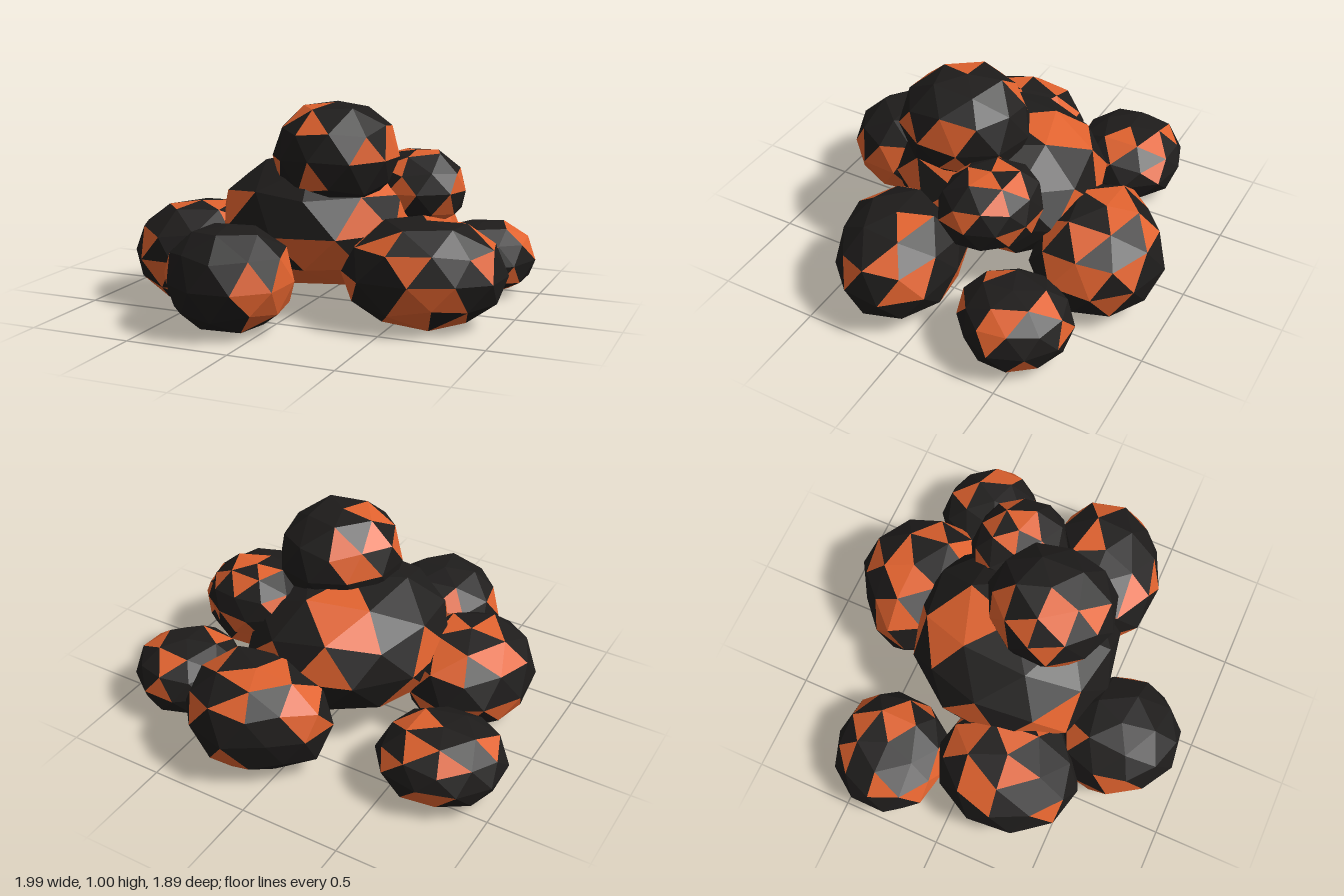
import * as THREE from 'three';
import { mergeVertices } from 'three/addons/utils/BufferGeometryUtils.js';

const CAP = 0.92; // height at which the poles are flattened

function seeded(seed) {
  let s = seed * 7919;
  return () => {
    s = (s * 16807) % 2147483647;
    return s / 2147483647;
  };
}

// Faceted ball with its pole up. Its footprint is an oval whose four diagonals
// (front left, front right, back right, back left) are swelled or shaved.
function lumpGeometry(low, high, x, z, rx, rz, spin, diagonals, rand) {
  let geo = new THREE.IcosahedronGeometry(1, 1);
  geo.deleteAttribute('normal');
  geo.deleteAttribute('uv');
  geo = mergeVertices(geo, 1e-3);
  geo.rotateZ(Math.atan(2 / (1 + Math.sqrt(5))));
  geo.rotateY(spin);
  const pos = geo.attributes.position;
  const v = new THREE.Vector3();
  for (let i = 0; i < pos.count; i++) {
    v.fromBufferAttribute(pos, i);
    const angle = Math.atan2(v.z, v.x);
    const quarter = v.z >= 0 ? (v.x >= 0 ? 0 : 1) : (v.x < 0 ? 2 : 3);
    const swell = 1.015 + diagonals[quarter] * Math.abs(Math.sin(2 * angle));
    const jitter = 1 + 0.05 * (rand() - 0.4) * Math.abs(v.y);
    const y = THREE.MathUtils.clamp(v.y + 0.08 * (rand() - 0.5), -CAP, CAP);
    pos.setXYZ(
      i,
      x + rx * v.x * swell * jitter,
      THREE.MathUtils.mapLinear(y, -CAP, CAP, low, high),
      z + rz * v.z * swell * jitter
    );
  }

  // Split the facets into charred and glowing groups
  const charred = [], glowing = [];
  const index = geo.index.array;
  for (let i = 0; i < index.length; i += 3) {
    const list = rand() < 0.3 ? glowing : charred;
    list.push(index[i], index[i + 1], index[i + 2]);
  }
  geo.setIndex([...charred, ...glowing]);
  geo = geo.toNonIndexed();
  geo.clearGroups();
  geo.addGroup(0, charred.length, 0);
  geo.addGroup(charred.length, glowing.length, 1);
  geo.computeVertexNormals();
  return geo;
}

export function createModel() {
  const pile = new THREE.Group();
  pile.name = 'emberPile';
  const materials = [0x1e1c1b, 0xe0622e].map(
    (color) => new THREE.MeshStandardMaterial({ color, flatShading: true })
  );
  let seed = 11;
  const addLump = (name, low, high, x, z, rx, rz, spin, diagonals) => {
    const geo = lumpGeometry(low, high, x, z, rx, rz, spin, diagonals, seeded(seed));
    const lump = new THREE.Mesh(geo, materials);
    lump.name = name;
    pile.add(lump);
    seed += 14;
  };

  // Heap: core with two lumps on top
  addLump('coreLump', 0.1, 0.73, 0, -0.01, 0.47, 0.51, 0.57, [0.07, 0.04, 0, 0.1]);
  addLump('topLump', 0.5, 1, 0.13, 0.12, 0.3, 0.32, 0, [0.05, -0.05, -0.08, 0.03]);
  addLump('shoulderLump', 0.38, 0.75, 0.44, -0.18, 0.25, 0.23, 0.31, [0.1, 0, 0.04, 0]);

  // Ring of lumps on the ground
  addLump('frontLump', 0, 0.48, -0.18, 0.64, 0.31, 0.31, 0.5, [0.02, -0.08, 0.02, 0]);
  addLump('frontRightLump', 0, 0.49, -0.55, 0.2, 0.32, 0.36, 0.09, [0, 0, 0, 0]);
  addLump('frontLeftLump', 0, 0.49, 0.63, 0.22, 0.37, 0.31, 0.04, [-0.1, 0.12, 0.02, 0.05]);
  addLump('backRightLump', 0, 0.35, -0.7, -0.38, 0.3, 0.28, 0.03, [0.02, 0.05, 0, 0.08]);
  addLump('backLump', 0, 0.52, 0.15, -0.63, 0.37, 0.31, 0, [0.1, 0, -0.2, 0]);
  addLump('backLeftLump', 0, 0.36, 0.71, -0.44, 0.27, 0.28, 0.36, [-0.12, 0.03, 0.02, -0.04]);
  return pile;
}
